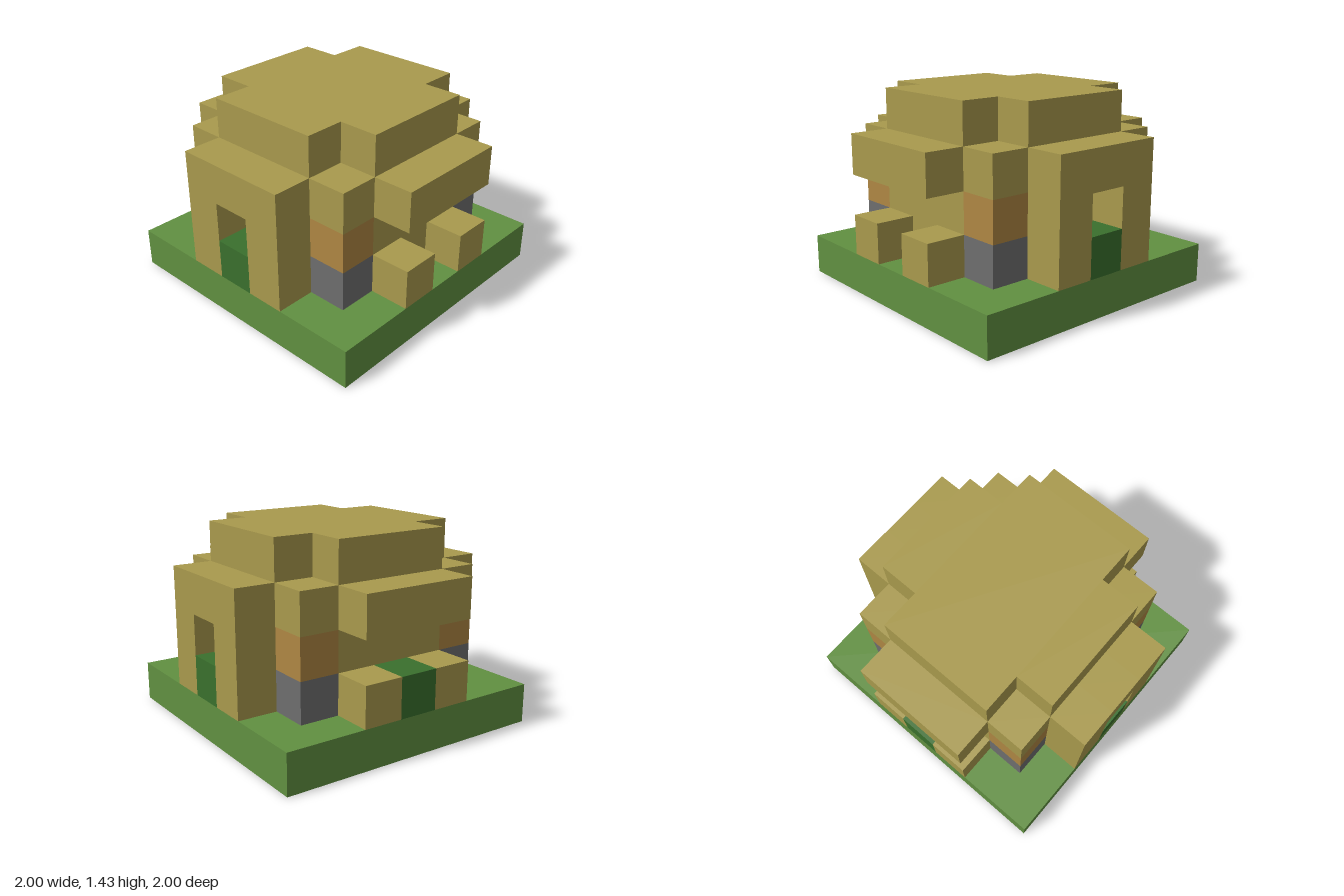
import * as THREE from 'three';

const U = 2 / 7; // one block

const mat = (name, color) => {
  const m = new THREE.MeshStandardMaterial({ color });
  m.name = name;
  return m;
};

export function createModel() {
  const straw = mat('straw', 0xa99a4d);
  const grass = mat('grass', 0x619041);
  const leaf = mat('leaf', 0x3a702d);
  const stone = mat('stone', 0x6e6e6e);
  const timber = mat('timber', 0xaf8743);
  const glass = mat('glass', 0x9fb4be);
  const dirt = mat('dirt', 0x835f4c);

  const model = new THREE.Group();
  model.name = 'hut';

  // Box spanning whole blocks: x and z count from the middle block, y from the ground up
  const blocks = (name, material, [x0, x1], [y0, y1], [z0, z1]) => {
    const size = [x1 - x0 + 1, y1 - y0 + 1, z1 - z0 + 1].map((n) => n * U);
    const mesh = new THREE.Mesh(new THREE.BoxGeometry(...size), material);
    mesh.position.set(((x0 + x1) / 2) * U, ((y0 + y1 + 1) / 2) * U, ((z0 + z1) / 2) * U);
    mesh.name = name;
    model.add(mesh);
    return mesh;
  };

  // Thin plate on the underside of the lawn
  const T = 0.006;
  const underPlate = (name, material, [x0, x1], [z0, z1]) => {
    const plate = blocks(name, material, [x0, x1], [0, 0], [z0, z1]);
    plate.scale.y = T / U;
    plate.position.y = T / 2;
  };

  // Lawn, raised a hair so the underside plates sit flush at y = 0
  const lawn = blocks('lawn', grass, [-3, 3], [0, 0], [-3, 3]);
  lawn.scale.y = (U - 0.003) / U;
  lawn.position.y += 0.0015;

  // Floor and footings seen from underneath
  underPlate('floor', straw, [-1, 1], [-1, 1]);
  underPlate('backFooting', dirt, [-1, 1], [-2, -2]);
  for (const s of [-1, 1]) {
    underPlate('sideFooting', dirt, [2 * s, 2 * s], [-1, 1]);
    underPlate('frontFooting', dirt, [s, s], [2, 2]);
  }

  // Cross-shaped body, rising to the roof
  blocks('body', straw, [-1, 1], [1, 4], [-2, 2]);
  for (const s of [-1, 1]) {
    blocks('bodyWing', straw, [2 * s, 2 * s], [1, 4], [-1, 1]);

    // Side bay with a window recess above a shrub
    const x = [3 * s, 3 * s];
    for (const z of [-1, 1]) blocks('bayJamb', straw, x, [1, 3], [z, z]);
    blocks('bayLintel', straw, x, [3, 3], [0, 0]);
    blocks('bayShrub', leaf, x, [1, 1], [0, 0]);

    // Window pane on the wall behind the recess
    const pane = blocks('windowPane', glass, x, [2, 2], [0, 0]);
    pane.scale.x = T / U;
    pane.position.x = s * (2.5 * U + T / 2);

    // Eaves and low blocks at front and back
    blocks('eave', straw, [-1, 1], [3, 3], [3 * s, 3 * s]);
    for (const bx of [-1, 1]) blocks('lowBlock', straw, [bx, bx], [1, 1], [3 * s, 3 * s]);

    // Corner pillars: stone, timber, straw
    for (const z of [-2, 2]) {
      [['pillarBase', stone], ['pillarShaft', timber], ['pillarCap', straw]].forEach(([name, m], i) =>
        blocks(name, m, [2 * s, 2 * s], [i + 1, i + 1], [z, z]));
    }
  }
  blocks('backShrub', leaf, [0, 0], [1, 1], [-3, -3]);

  return model;
}
